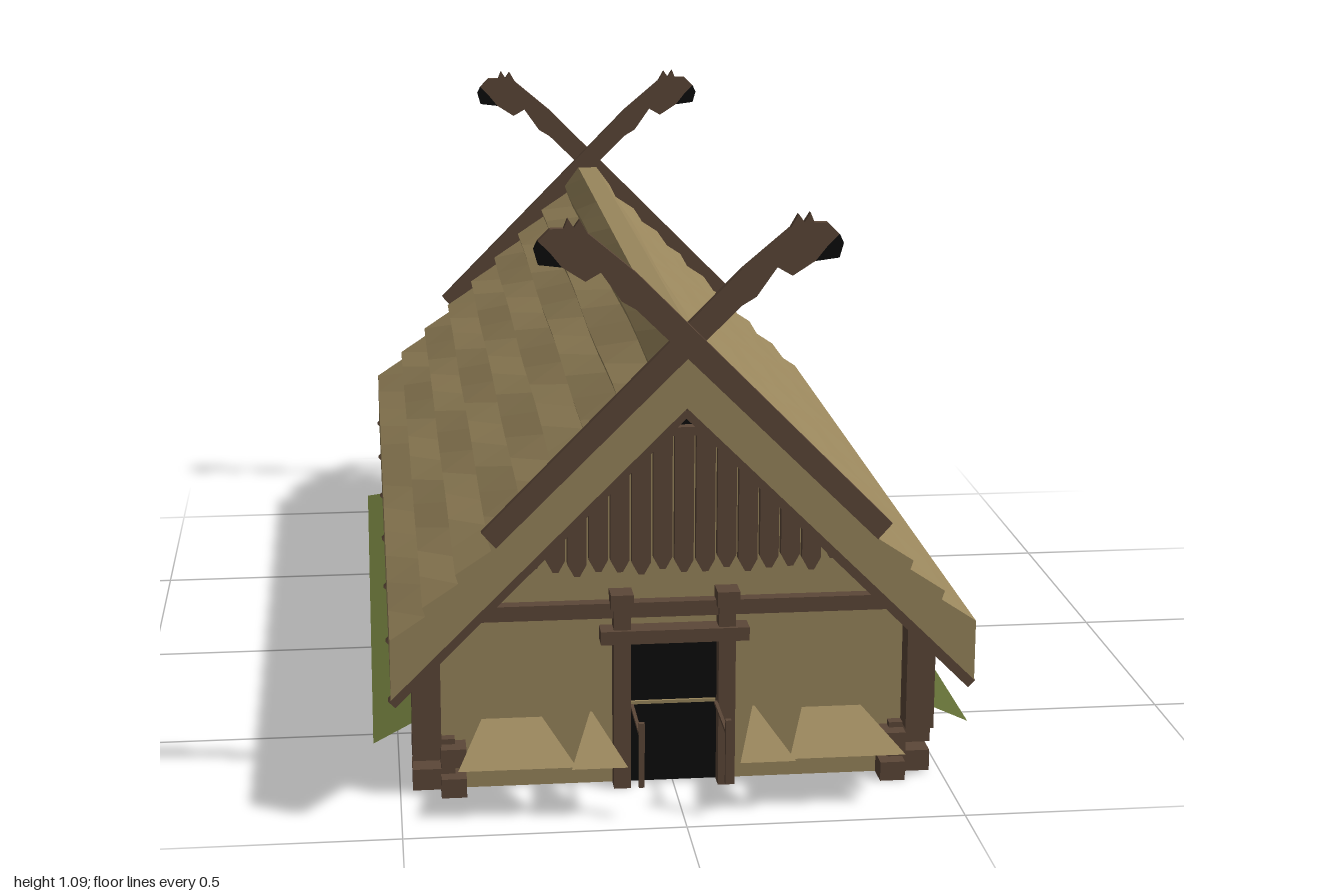
import * as THREE from 'three';

const mat = (name, color, side = THREE.FrontSide) => {
  const m = new THREE.MeshStandardMaterial({ color, side });
  m.name = name;
  return m;
};

export function createModel() {
  const house = new THREE.Group();
  house.name = 'longhouse';
  const straw = mat('straw tan', 0x99865c);
  const wood = mat('dark wood', 0x5c4738);
  const black = mat('black', 0x0b0b0b);
  const grass = mat('grass green', 0x626d35, THREE.DoubleSide);
  const path = mat('trodden tan', 0x99865c, THREE.DoubleSide);

  const add = (name, geo, m, parent = house) => {
    const mesh = new THREE.Mesh(geo, m);
    mesh.name = name;
    parent.add(mesh);
    return mesh;
  };
  // box given by its lower and upper limits on each axis
  const box = (name, m, x0, x1, y0, y1, z0, z1, parent) => {
    const mesh = add(name, new THREE.BoxGeometry(Math.abs(x1 - x0), y1 - y0, Math.abs(z1 - z0)), m, parent);
    mesh.position.set((x0 + x1) / 2, (y0 + y1) / 2, (z0 + z1) / 2);
    return mesh;
  };
  // flat outline extruded from z0 to z1
  const slab = (name, m, pts, z0, z1, parent, steps = 1) => {
    const shape = new THREE.Shape(pts.map(([x, y]) => new THREE.Vector2(x, y)));
    const geo = new THREE.ExtrudeGeometry(shape, { depth: z1 - z0, steps, bevelEnabled: false });
    geo.translate(0, 0, z0);
    return add(name, geo, m, parent);
  };

  // stepped thatch roof
  const half = [[0.515, 0.245], [0.515, 0.355]];
  for (let i = 1; i < 9; i++) {
    const x = 0.515 - i * 0.0575, y = 0.355 + i * 0.0575;
    half.push([x - 0.005, y - 0.016], [x, y]);
  }
  half.push([0.022, 0.86]);
  const outline = [[0, 0.755], ...half, ...half.map(([x, y]) => [-x, y]).reverse()];
  const roof = slab('thatchRoof', straw, outline, -0.97, 0.97, house, 12);
  const p = roof.geometry.attributes.position;
  for (let i = 0; i < p.count; i++) {
    const x = Math.abs(p.getX(i)), y = p.getY(i), z = p.getZ(i);
    if (y > 0.37 && x > 0.05 && Math.abs(z) < 0.96) {
      const row = Math.round((0.515 - x) / 0.0575);
      p.setY(i, y + 0.005 * Math.sin(z * 7 + row * 2.1));
    }
  }
  roof.geometry.computeVertexNormals();

  // rafters and battens below the thatch
  const frame = new THREE.Group();
  frame.name = 'roofFrame';
  house.add(frame);
  for (const s of [-1, 1]) {
    for (const z of [-0.95, -0.64, -0.32, 0, 0.32, 0.64, 0.95]) {
      const r = add('rafter', new THREE.BoxGeometry(0.725, 0.018, 0.02), wood, frame);
      r.position.set(s * 0.257, 0.49, z);
      r.rotation.z = -s * Math.PI / 4;
    }
    for (let i = 0; i < 8; i++) {
      const x = 0.045 + i * 0.058;
      const b = add('batten', new THREE.BoxGeometry(0.02, 0.016, 1.9), wood, frame);
      b.position.set(s * x, 0.746 - x, 0);
      b.rotation.z = -s * Math.PI / 4;
    }
    // long walls
    box('sideWall', straw, s * 0.38, s * 0.425, 0, 0.325, -0.735, 0.735);
  }

  // gable ends; the back is the front turned through the z mirror
  const gable = [[-0.425, 0], [0.425, 0], [0.425, 0.325], [0, 0.75], [-0.425, 0.325]];
  const carved = [[-0.355, 0.548], [-0.33, 0.52], [0.09, 0.935], [0.115, 0.95], [0.15, 1.0], [0.176, 0.985],
    [0.215, 1.01], [0.235, 1.035], [0.255, 1.055], [0.235, 1.075], [0.212, 1.075], [0.205, 1.092],
    [0.195, 1.076], [0.185, 1.09], [0.172, 1.067], [0.09, 0.998]];
  const muzzle = [[0.215, 1.01], [0.255, 1.015], [0.262, 1.04], [0.255, 1.055], [0.235, 1.035]];
  const flip = pts => pts.map(([x, y]) => [-x, y]);
  for (const s of [-1, 1]) {
    const end = new THREE.Group();
    end.name = s > 0 ? 'frontGable' : 'backGable';
    house.add(end);
    // extrude between two distances from the middle, on this end's side
    const plate = (name, m, pts, a, b) => slab(name, m, pts, s > 0 ? a : -b, s > 0 ? b : -a, end);
    plate('endWall', straw, gable, 0.735, 0.78);
    box('tieBeam', wood, -0.405, 0.405, 0.325, 0.353, s * 0.77, s * 0.805, end);
    plate('smokeHole', black, [[-0.065, 0.675], [0.065, 0.675], [0, 0.735]], 0.779, 0.785);
    box('smokeHoleSill', wood, -0.08, 0.08, 0.662, 0.678, s * 0.77, s * 0.805, end);

    // hanging gable boards with pointed feet
    for (let i = 0; i < 15; i++) {
      const x = -0.253 + i * 0.0387, w = 0.0172;
      const foot = 0.408 + (i === 0 || i === 14 ? 0.012 : 0) + 0.005 * Math.sin(i * 2.3);
      const top = e => Math.min(0.665, 0.742 - Math.abs(x + e));
      plate('gableBoard', wood, [[x - w, foot + 0.022], [x - w * 0.3, foot], [x + w * 0.3, foot],
        [x + w, foot + 0.022], [x + w, top(w)], [x - w, top(-w)]], 0.778, 0.797);
    }

    // crossed barge boards ending in carved animal heads
    plate('innerBargeBoard', wood, carved, 0.971, 0.985);
    plate('innerMuzzle', black, muzzle, 0.969, 0.987);
    plate('outerBargeBoard', wood, flip(carved), 0.986, 1.0);
    plate('outerMuzzle', black, flip(muzzle), 0.984, 1.0);

    // corner posts and log ends
    for (const t of [-1, 1]) {
      box('cornerPost', wood, t * 0.425, t * 0.477, 0.1, 0.315, s * 0.775, s * 0.828, end);
      for (const y of [0.006, 0.063]) {
        box('crossLogEnd', wood, t * 0.4, t * 0.477, y, y + 0.04, s * 0.735, s * 0.8, end);
        box('longLogEnd', wood, t * 0.38, t * 0.426, Math.max(0, y - 0.006), y + 0.03, s * 0.74, s * 0.828, end);
      }
    }
  }

  // doorway
  box('doorOpening', black, -0.08, 0.08, 0.002, 0.28, 0.73, 0.785);
  box('doorLintel', wood, -0.135, 0.135, 0.28, 0.305, 0.78, 0.822);
  box('doorBar', straw, -0.078, 0.078, 0.153, 0.159, 0.785, 0.79);
  for (const s of [-1, 1]) {
    box('doorPost', wood, s * 0.08, s * 0.111, 0, 0.35, 0.775, 0.815);
    box('doorPostCap', wood, s * 0.076, s * 0.117, 0.345, 0.374, 0.772, 0.825);
    box('railPost', wood, s * 0.072, s * 0.082, 0.065, 0.185, 0.96, 0.97);
    box('handRail', wood, s * 0.074, s * 0.08, 0.152, 0.158, 0.8, 0.965);
  }

  // sloping ground strips: inner and outer width, turned to face away from a wall
  const strip = (name, m, inner, outer, depth, rise, x, z, turn) => {
    const g = new THREE.BufferGeometry();
    const a = inner / 2, b = outer / 2;
    g.setAttribute('position', new THREE.Float32BufferAttribute(
      [-a, rise, 0, -b, 0, depth, b, 0, depth, a, rise, 0], 3));
    g.setIndex([0, 1, 2, 0, 2, 3]);
    g.computeVertexNormals();
    const mesh = add(name, g, m);
    mesh.position.set(x, 0.1, z);
    mesh.rotation.y = turn;
  };
  for (const s of [-1, 1]) {
    strip('sideGrass', grass, 1.46, 1.6, 0.125, 0.038, s * 0.422, 0, s * Math.PI / 2);
    strip('frontPath', path, 0.11, 0.21, 0.17, 0.032, s * 0.295, 0.78, 0);
    strip('doorPath', path, 0.004, 0.1, 0.18, 0.038, s * 0.15, 0.78, 0);
  }
  strip('backGrass', grass, 0.8, 1.0, 0.115, 0.038, 0, -0.778, Math.PI);

  return house;
}
